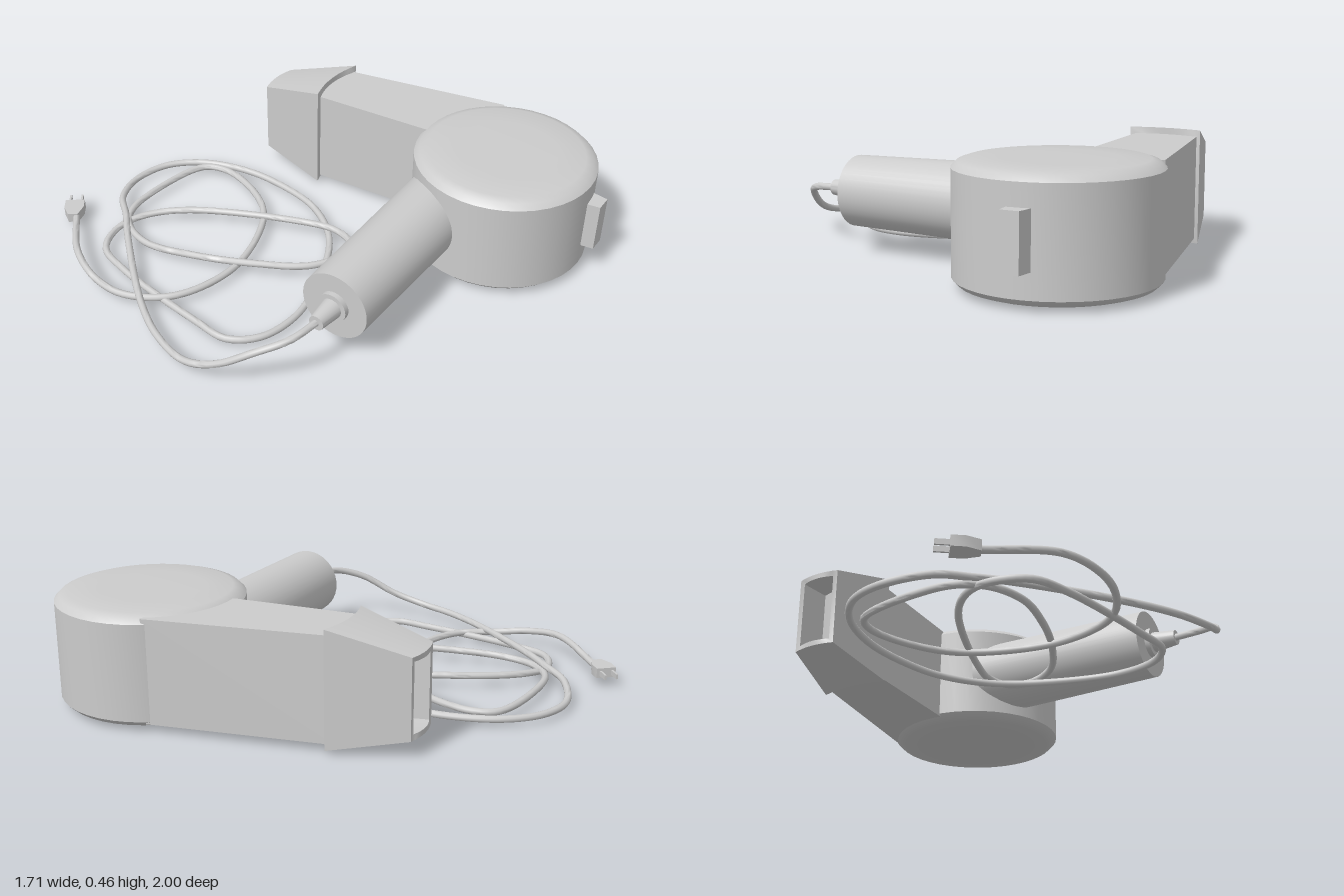
import * as THREE from 'three';
import { toCreasedNormals } from 'three/addons/utils/BufferGeometryUtils.js';

const grey = new THREE.MeshStandardMaterial({ color: 0xcccccc });

function part(parent, name, geometry, crease = 0.5) {
  const mesh = new THREE.Mesh(toCreasedNormals(geometry, crease), grey);
  mesh.name = name;
  parent.add(mesh);
  return mesh;
}

// Plan outline given as [x, z], raised from y0 to y1
function slab(outline, y0, y1) {
  const shape = new THREE.Shape(outline.map(([x, z]) => new THREE.Vector2(x, -z)));
  return new THREE.ExtrudeGeometry(shape, { depth: y1 - y0, bevelEnabled: false })
    .rotateX(-Math.PI / 2).translate(0, y0, 0);
}

// Round section along x, from x0 (radius r0) to x1 (radius r1)
function rodX(x0, x1, r0, r1, y, z, sides = 32) {
  return new THREE.CylinderGeometry(r1, r0, x1 - x0, sides)
    .rotateZ(-Math.PI / 2).translate((x0 + x1) / 2, y, z);
}

// Rectangular rings [x0, x1, y0, y1, z, bulge] bowed towards -z, joined in order
function bowedLoft(rings, n = 8) {
  const pos = [], index = [], count = 2 * (n + 1);
  for (const [x0, x1, y0, y1, z, bulge] of rings) {
    for (let k = 0; k < count; k++) {
      const t = (k <= n ? k : count - 1 - k) / n;
      pos.push(x0 + (x1 - x0) * t, k <= n ? y1 : y0, z - bulge * 4 * t * (1 - t));
    }
  }
  for (let r = 0; r < rings.length - 1; r++) {
    for (let k = 0; k < count; k++) {
      const a = r * count + k, b = r * count + (k + 1) % count;
      index.push(a, b, a + count, a + count, b, b + count);
    }
  }
  // Close the last ring, facing -z
  const s = (rings.length - 1) * count;
  for (let k = 0; k < n; k++) {
    const a = s + k, b = a + 1, c = s + count - 1 - k, d = c - 1;
    index.push(a, b, c, c, b, d);
  }
  const g = new THREE.BufferGeometry();
  g.setAttribute('position', new THREE.Float32BufferAttribute(pos, 3));
  g.setIndex(index);
  return g;
}

export function createModel() {
  const model = new THREE.Group();
  model.name = 'hairDryer';

  // Round motor housing with softened rims
  const profile = [[0, 0], [0.2, 0.01], [0.31, 0.01], [0.34, 0.02], [0.36, 0.04],
    [0.36, 0.41], [0.34, 0.43], [0.31, 0.44], [0.2, 0.44], [0, 0.45]]
    .map(([x, y]) => new THREE.Vector2(x, y));
  part(model, 'motorHousing', new THREE.LatheGeometry(profile, 40).translate(0.5, 0, 0.59), 0.7);

  // Flat-sided air barrel
  part(model, 'barrel', slab([[0.42, -0.27], [0.46, 0.24], [0.5, 0.5], [0.7, 0.5],
    [0.81, 0.42], [0.67, -0.27]], 0.03, 0.43));

  // Hollow tapered nozzle
  part(model, 'nozzle', bowedLoft([
    [0.42, 0.67, 0.03, 0.43, -0.24, 0.025],
    [0.4, 0.69, 0.01, 0.455, -0.24, 0.025],
    [0.43, 0.61, 0.07, 0.375, -0.53, 0.015],
    [0.45, 0.59, 0.09, 0.355, -0.53, 0.015],
    [0.44, 0.61, 0.07, 0.375, -0.38, 0.015],
  ]));

  // Switch on the front, narrowing outwards
  const button = new THREE.BoxGeometry(0.09, 0.2, 0.08);
  const p = button.attributes.position;
  for (let i = 0; i < p.count; i++) if (p.getZ(i) > 0) p.setX(i, p.getX(i) * 0.75);
  part(model, 'switchButton', button.translate(0.54, 0.23, 0.96));

  // Handle, end collar and cord sleeve
  part(model, 'handle', rodX(-0.445, 0.32, 0.137, 0.15, 0.227, 0.42, 40));
  part(model, 'handleCollar', rodX(-0.465, -0.44, 0.06, 0.06, 0.23, 0.42));
  part(model, 'cordSleeve', rodX(-0.56, -0.46, 0.03, 0.042, 0.23, 0.42, 20));

  // Power cord, coiled on the ground
  const path = [
    [-0.54, 0.23, 0.42], [-0.67, 0.22, 0.39], [-0.76, 0.18, 0.3], [-0.82, 0.1, 0.17],
    [-0.84, 0.06, 0.04], [-0.79, 0.05, -0.13], [-0.68, 0.05, -0.31], [-0.42, 0.06, -0.61],
    [-0.31, 0.06, -0.72], [-0.22, 0.05, -0.82], [-0.06, 0.03, -0.88], [0.09, 0.03, -0.84],
    [0.2, 0.03, -0.72], [0.26, 0.03, -0.53], [0.26, 0.03, -0.34], [0.21, 0.03, -0.13],
    [0.08, 0.03, 0.04], [-0.13, 0.03, 0.15], [-0.39, 0.03, 0.21], [-0.56, 0.03, 0.17],
    [-0.64, 0.03, 0.07], [-0.63, 0.03, -0.08], [-0.56, 0.03, -0.51], [-0.5, 0.03, -0.66],
    [-0.37, 0.03, -0.71], [-0.26, 0.04, -0.67], [-0.13, 0.05, -0.53], [0.07, 0.06, -0.08],
    [0.1, 0.06, 0.06], [0.06, 0.06, 0.16], [-0.03, 0.06, 0.17], [-0.15, 0.06, 0.1],
    [-0.26, 0.06, -0.08], [-0.35, 0.05, -0.32], [-0.39, 0.04, -0.53], [-0.35, 0.04, -0.66],
    [-0.27, 0.04, -0.73], [-0.15, 0.04, -0.75], [0.16, 0.04, -0.69], [0.2, 0.04, -0.59],
    [0.14, 0.04, -0.39], [0.02, 0.04, -0.25], [-0.31, 0.04, -0.15], [-0.57, 0.04, -0.23],
    [-0.68, 0.04, -0.4], [-0.69, 0.06, -0.53], [-0.63, 0.08, -0.68], [-0.43, 0.05, -0.89],
  ].map((q) => new THREE.Vector3(...q));
  part(model, 'powerCord', new THREE.TubeGeometry(new THREE.CatmullRomCurve3(path), 360, 0.014, 10), 1.2);

  // Plug with two flat prongs
  const plug = new THREE.Group();
  plug.name = 'plug';
  plug.position.set(-0.41, 0.05, -0.92);
  plug.rotation.y = 0.66;
  part(plug, 'plugBody', slab([[-0.05, 0.02], [0, 0.04], [0.05, 0.04],
    [0.05, -0.04], [0, -0.04], [-0.05, -0.02]], -0.02, 0.02));
  for (const side of [-1, 1]) {
    part(plug, 'prong', new THREE.BoxGeometry(0.06, 0.02, 0.008).translate(0.07, 0, side * 0.024));
  }
  model.add(plug);

  return model;
}
